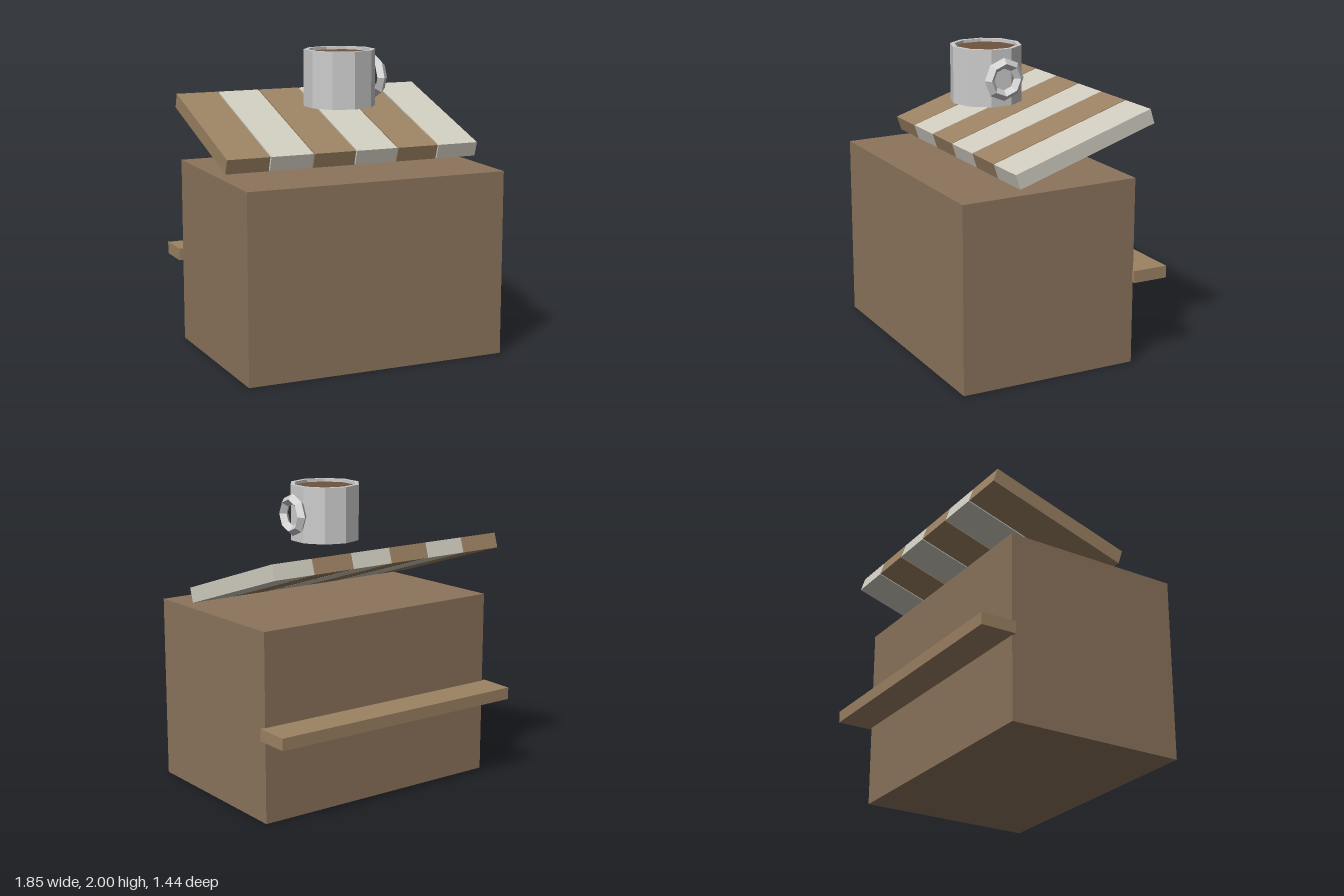
import * as THREE from 'three';

const material = (color) => new THREE.MeshStandardMaterial({ color, flatShading: true });

export function createModel() {
  const group = new THREE.Group();
  const bodyWood = material(0x8c745c);
  const plankWood = material(0x9c8263);
  const paleWood = material(0xd0ccc0);
  const coffeeBrown = material(0x6e543e);
  const ceramic = material(0xcccccc);

  const add = (name, geometry, mat, x, y, z) => {
    const mesh = new THREE.Mesh(geometry, mat);
    mesh.name = name;
    mesh.position.set(x, y, z);
    group.add(mesh);
    return mesh;
  };

  // Stand body, its top rising slightly towards the back
  const body = new THREE.BoxGeometry(1.785, 1.225, 1.21);
  const p = body.attributes.position;
  for (let i = 0; i < p.count; i++) {
    if (p.getY(i) > 0 && p.getZ(i) < 0) p.setY(i, p.getY(i) + 0.015);
  }
  add('body', body, bodyWood, 0, 0.6125, 0.115);

  // Shelf along the back
  add('backShelf', new THREE.BoxGeometry(1.845, 0.08, 0.24), plankWood, 0, 0.59, -0.603);

  // Sloping awning of alternating planks
  for (let i = 0; i < 6; i++) {
    const plank = add(i % 2 ? 'palePlank' : 'brownPlank', new THREE.BoxGeometry(0.29, 0.1, 1),
      i % 2 ? paleWood : plankWood, (i - 2.5) * 0.298 + 0.006, 1.472, -0.127);
    plank.rotation.x = 0.315;
  }

  // Mug above the awning: wall, rim and floor in one profile
  const profile = [[0, 0], [0.235, 0], [0.235, 0.37], [0.205, 0.37], [0.205, 0.04], [0, 0.04]]
    .map(([r, y]) => new THREE.Vector2(r, y));
  add('mug', new THREE.LatheGeometry(profile, 10), ceramic, 0, 1.63, 0.11);
  add('coffee', new THREE.CylinderGeometry(0.205, 0.205, 0.03, 10), coffeeBrown, 0, 1.965, 0.11);

  // Ring handle lying flat against the mug's side
  const handle = add('mugHandle', new THREE.TorusGeometry(0.105, 0.035, 4, 8), ceramic, 0.259, 1.812, 0.11);
  handle.rotation.y = Math.PI / 2;

  return group;
}
